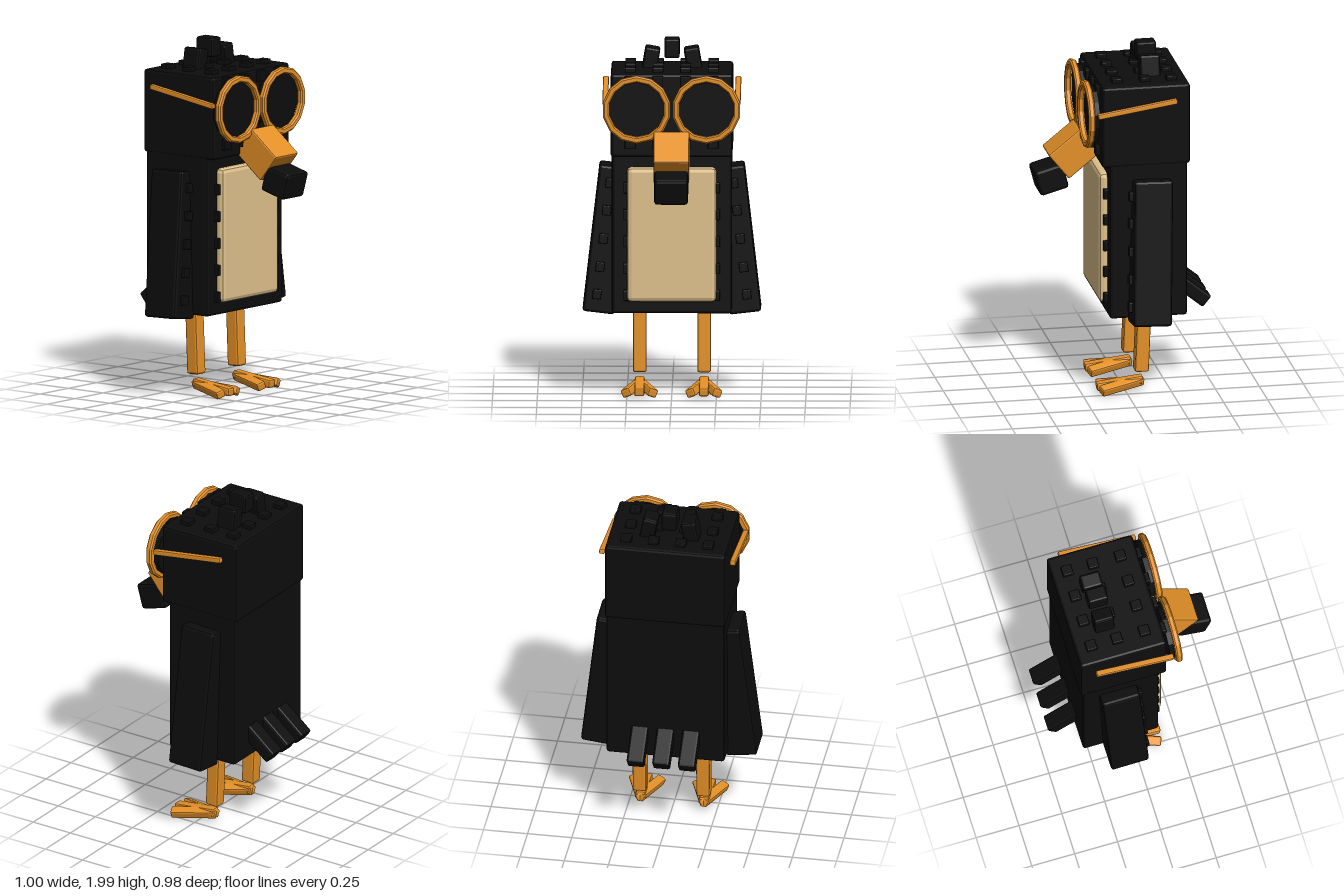
import * as THREE from 'three';
import { RoundedBoxGeometry } from 'three/addons/geometries/RoundedBoxGeometry.js';

const mat = (name, color) => {
  const m = new THREE.MeshStandardMaterial({ color });
  m.name = name;
  return m;
};

export function createModel() {
  const black = mat('black feathers', 0x0d0d0d);
  const orange = mat('orange', 0xe39027);
  const tan = mat('tan belly', 0xe0c28c);
  const model = new THREE.Group();
  model.name = 'bird';

  // Bevelled box with flat facets
  const box = (parent, name, material, size, pos, rot = [0, 0, 0], bevel = 0.012) => {
    const g = new RoundedBoxGeometry(...size, 1, bevel);
    g.computeVertexNormals();
    const mesh = new THREE.Mesh(g, material);
    mesh.name = name;
    mesh.position.set(...pos);
    mesh.rotation.set(...rot);
    parent.add(mesh);
    return mesh;
  };

  // Body, head and belly panel
  box(model, 'body', black, [0.67, 0.96, 0.44], [0, 0.96, -0.105], [0, 0, 0], 0.015);
  box(model, 'head', black, [0.68, 0.47, 0.5], [0, 1.605, -0.09], [0, 0, 0], 0.015);
  box(model, 'belly', tan, [0.5, 0.76, 0.08], [0, 0.93, 0.12], [0, 0, 0], 0.025);

  // Studs on the head top, head front and chest
  for (const x of [-0.232, -0.077, 0.077, 0.232]) {
    for (const z of [-0.25, -0.1, 0.06]) {
      box(model, 'headStud', black, [0.06, 0.04, 0.06], [x, 1.845, z], [0, 0, 0], 0.005);
    }
    for (const y of [1.45, 1.57, 1.69, 1.8]) {
      box(model, 'faceStud', black, [0.06, 0.06, 0.04], [x, y, 0.163], [0, 0, 0], 0.005);
    }
  }

  // Crest of three tufts and three tail feathers
  for (const s of [-1, 0, 1]) {
    box(model, 'crestTuft', black, [0.085, s ? 0.13 : 0.11, 0.115],
      [s * 0.117, s ? 1.885 : 1.945, -0.147], [0, 0, s * 0.17], 0.012);
    box(model, 'tailFeather', black, [0.097, 0.08, 0.26],
      [s * 0.145, 0.584, -0.365], [-0.68, 0, 0], 0.012);
  }

  // Beak and its drooping dark tip
  box(model, 'beak', orange, [0.2, 0.187, 0.232], [0, 1.385, 0.272], [0.68, 0, 0], 0.01);
  box(model, 'beakTip', black, [0.19, 0.152, 0.168], [0, 1.238, 0.4], [0.27, 0, 0], 0.018);

  // Fourteen-sided spectacle rim with bevelled section
  const profile = [
    [0.162, -0.018], [0.183, -0.018], [0.192, -0.01], [0.192, 0.01],
    [0.183, 0.018], [0.162, 0.018], [0.155, 0.01], [0.155, -0.01], [0.162, -0.018],
  ].map((p) => new THREE.Vector2(...p));
  const rimGeo = new THREE.LatheGeometry(profile, 14).toNonIndexed();
  rimGeo.rotateX(Math.PI / 2);
  rimGeo.computeVertexNormals();
  const lensGeo = new THREE.CylinderGeometry(0.165, 0.165, 0.03, 14).toNonIndexed();
  lensGeo.rotateX(Math.PI / 2);
  lensGeo.computeVertexNormals();

  for (const s of [-1, 1]) {
    const side = new THREE.Group();
    side.name = s > 0 ? 'leftSide' : 'rightSide';
    model.add(side);

    // Spectacles
    const rim = new THREE.Mesh(rimGeo, orange);
    rim.name = 'spectacleRim';
    rim.position.set(s * 0.195, 1.65, 0.224);
    const lens = new THREE.Mesh(lensGeo, black);
    lens.name = 'lens';
    lens.position.set(s * 0.192, 1.65, 0.19);
    side.add(rim, lens);
    box(side, 'spectacleArm', orange, [0.032, 0.03, 0.455],
      [s * 0.37, 1.718, -0.035], [0.15, 0, 0], 0.007);

    // Wing flaring outwards, with studs on its front edge
    const wing = box(side, 'wing', black, [0.18, 0.83, 0.22],
      [s * 0.363, 0.876, -0.11], [-0.03, 0, s * 0.115], 0.015);
    for (const y of [0.32, 0.165, 0.005, -0.155, -0.31]) {
      box(wing, 'wingStud', black, [0.05, 0.055, 0.04], [s * 0.02, y, 0.11], [0, 0, 0], 0.005);
    }

    // Chest studs beside the belly
    for (let i = 0; i < 5; i++) {
      box(side, 'chestStud', black, [0.06, 0.06, 0.05],
        [s * 0.24, 0.585 + i * 0.152, 0.115], [0, 0, 0], 0.005);
    }

    // Leg
    box(side, 'leg', orange, [0.077, 0.4, 0.08], [s * 0.18, 0.32, -0.097], [-0.04, 0, 0], 0.012);

    // Foot with three fanned toes
    const foot = new THREE.Group();
    foot.name = 'foot';
    foot.position.set(s * 0.18, 0.068, -0.085);
    foot.rotation.x = 0.12;
    side.add(foot);
    for (const t of [-1, 0, 1]) {
      const toe = new THREE.Group();
      toe.name = 'toe';
      toe.rotation.y = t * 0.31;
      foot.add(toe);
      box(toe, 'toeBlock', orange, [0.055, 0.048, 0.265],
        [0, t ? -0.004 : 0.003, 0.118], [0, 0, -t * 0.4], 0.01);
    }
  }
  return model;
}
